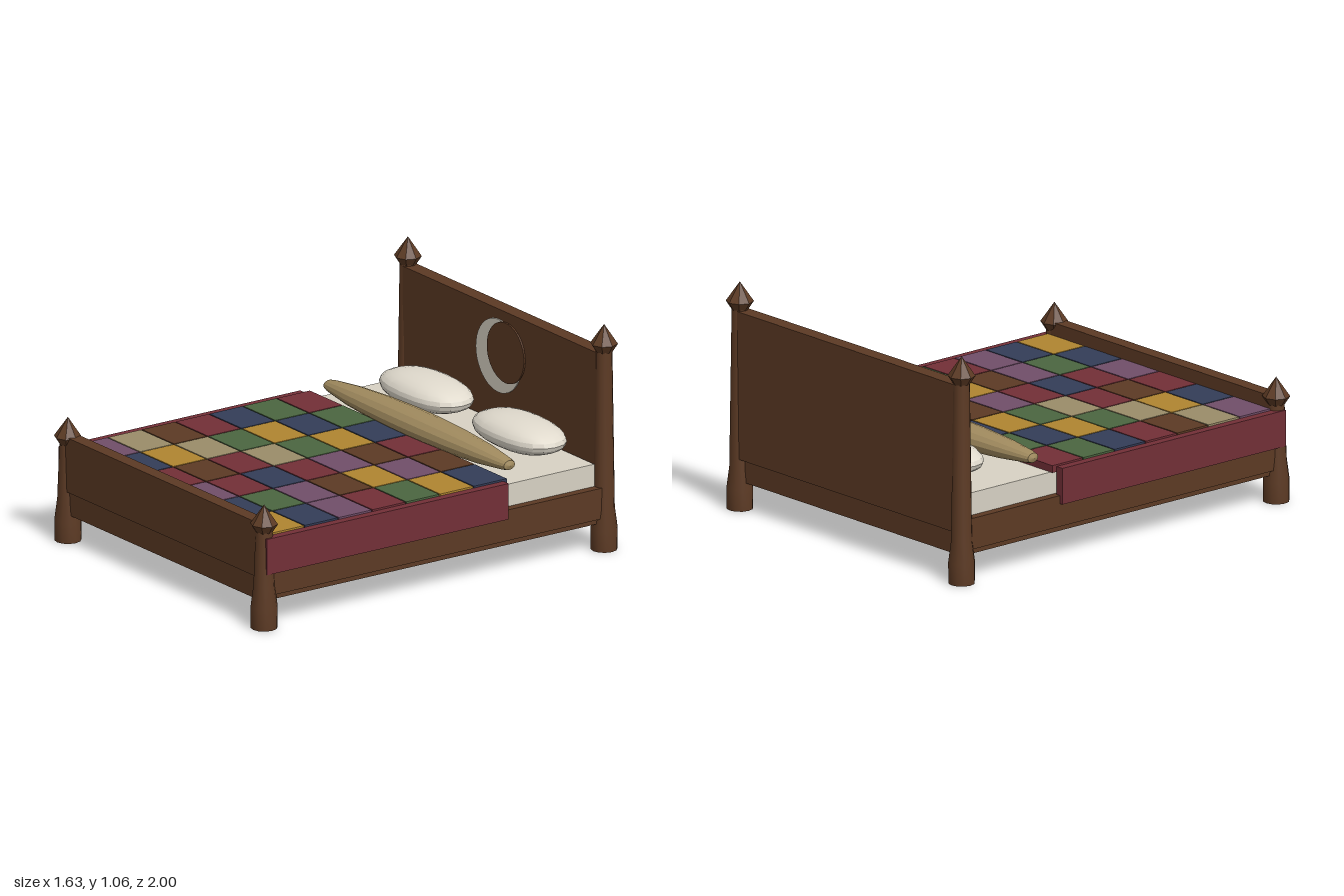
import * as THREE from 'three';
import { toCreasedNormals } from 'three/addons/utils/BufferGeometryUtils.js';

const COLORS = {
  wood: 0x5c3a24, linen: 0xd8d2c4, pillowCotton: 0xe0dacd, bolsterCloth: 0xa08a5e,
  red: 0x722f37, green: 0x4b6640, blue: 0x333d58, gold: 0xb08530,
  purple: 0x704e69, tan: 0x9a8c69,
};

export function createModel() {
  const bed = new THREE.Group();
  bed.name = 'bed';
  const mats = {};
  for (const [name, color] of Object.entries(COLORS)) {
    mats[name] = new THREE.MeshStandardMaterial({ color });
    mats[name].name = name;
  }

  const add = (name, geometry, mat, parent = bed) => {
    const mesh = new THREE.Mesh(geometry, mats[mat]);
    mesh.name = name;
    parent.add(mesh);
    return mesh;
  };
  // Box given by its limits on each axis
  const box = (name, mat, [x0, x1], [y0, y1], [z0, z1], parent) => {
    const mesh = add(name, new THREE.BoxGeometry(x1 - x0, y1 - y0, z1 - z0), mat, parent);
    mesh.position.set((x0 + x1) / 2, (y0 + y1) / 2, (z0 + z1) / 2);
    return mesh;
  };
  const lathe = (pts, sides) =>
    new THREE.LatheGeometry(pts.map(([r, y]) => new THREE.Vector2(r, y)), sides);

  // Turned corner posts with pointed finials
  const addPost = (name, x, z, top) => {
    const post = new THREE.Group();
    post.name = name;
    post.position.set(x, 0, z);
    bed.add(post);
    const shaft = lathe([[0, 0], [0.06, 0], [0.061, 0.1], [0.048, 0.2], [0.037, top - 0.09], [0, top - 0.09]], 12);
    add('postShaft', toCreasedNormals(shaft, 0.6), 'wood', post);
    const finial = lathe([[0, top - 0.13], [0.037, top - 0.13], [0.063, top - 0.09], [0, top]], 8);
    add('postFinial', toCreasedNormals(finial, 0.1), 'wood', post);
  };
  for (const s of [-1, 1]) {
    addPost('headPost', s * 0.75, -0.937, 1.06);
    addPost('footPost', s * 0.75, 0.935, 0.58);
  }

  // Frame
  box('headboard', 'wood', [-0.74, 0.74], [0.24, 0.93], [-0.97, -0.9]);
  box('footboard', 'wood', [-0.74, 0.74], [0.24, 0.497], [0.9, 0.965]);
  box('headRail', 'wood', [-0.74, 0.74], [0.13, 0.24], [-0.947, -0.9]);
  box('footRail', 'wood', [-0.74, 0.74], [0.13, 0.24], [0.9, 0.955]);
  box('bedBase', 'wood', [-0.765, 0.765], [0.13, 0.156], [-0.93, 0.93]);
  for (const s of [-1, 1]) {
    box('sideRail', 'wood', [s * 0.76 - 0.02, s * 0.76 + 0.02], [0.155, 0.3], [-0.91, 0.91]);
  }

  // Crescent: a pale disc partly covered by a wooden one
  const disc = (name, mat, r, x, y, z) => {
    const g = new THREE.CylinderGeometry(r, r, 0.008, 40).rotateX(Math.PI / 2);
    add(name, g, mat).position.set(x, y, z);
  };
  disc('moonDisc', 'linen', 0.172, 0, 0.712, -0.898);
  disc('moonShadowDisc', 'wood', 0.142, 0.063, 0.743, -0.892);

  // Mattress
  box('mattress', 'linen', [-0.74, 0.74], [0.156, 0.405], [-0.89, 0.9]);

  // Patchwork quilt, rows from head to foot
  const code = { r: 'red', g: 'green', b: 'blue', w: 'wood', y: 'gold', p: 'purple', t: 'tan' };
  const rows = ['rgbrwb', 'gbywpy', 'bygpyg', 'rgtrwr', 'wtrbpp', 'tywrgb', 'pbrpby'];
  const quilt = new THREE.Group();
  quilt.name = 'quilt';
  bed.add(quilt);
  const w = 0.252, d = 0.186, gap = 0.003;
  rows.forEach((row, j) => [...row].forEach((c, i) => {
    const x = -0.756 + i * w, z = -0.402 + j * d;
    box('quiltPatch', code[c], [x + gap, x + w - gap], [0.404, 0.438], [z + gap, z + d - gap], quilt);
  }));
  for (const s of [-1, 1]) {
    box('quiltDrape', 'red', [s * 0.777 - 0.02, s * 0.777 + 0.02], [0.262, 0.431], [-0.378, 0.952], quilt);
  }

  // Pillows: boxy ellipsoids with a pinched rim
  const pillowGeometry = () => {
    const g = new THREE.SphereGeometry(1, 20, 12);
    const p = g.attributes.position;
    const soft = (v, e) => Math.sign(v) * Math.abs(v) ** e;
    for (let i = 0; i < p.count; i++) {
      const x = p.getX(i), y = p.getY(i), z = p.getZ(i);
      p.setXYZ(i, soft(x, 0.85) * 0.28, y * 0.074, soft(z, 0.85) * 0.147);
    }
    return toCreasedNormals(g, 0.35);
  };
  for (const s of [-1, 1]) {
    add('pillow', pillowGeometry(), 'pillowCotton').position.set(s * 0.355, 0.481, -0.755);
  }

  // Spindle-shaped bolster
  const half = [[0.35, 0.69], [0.45, 0.66], [0.72, 0.5], [0.9, 0.3], [0.98, 0.12]];
  const profile = [[0, -0.7], ...half.map(([r, y]) => [r, -y]), [1, 0], ...half.slice().reverse(), [0, 0.7]];
  const bolster = lathe(profile, 14).rotateZ(Math.PI / 2).scale(1, 0.064, 0.088);
  add('bolster', toCreasedNormals(bolster, 0.35), 'bolsterCloth').position.set(0, 0.472, -0.459);

  return bed;
}
